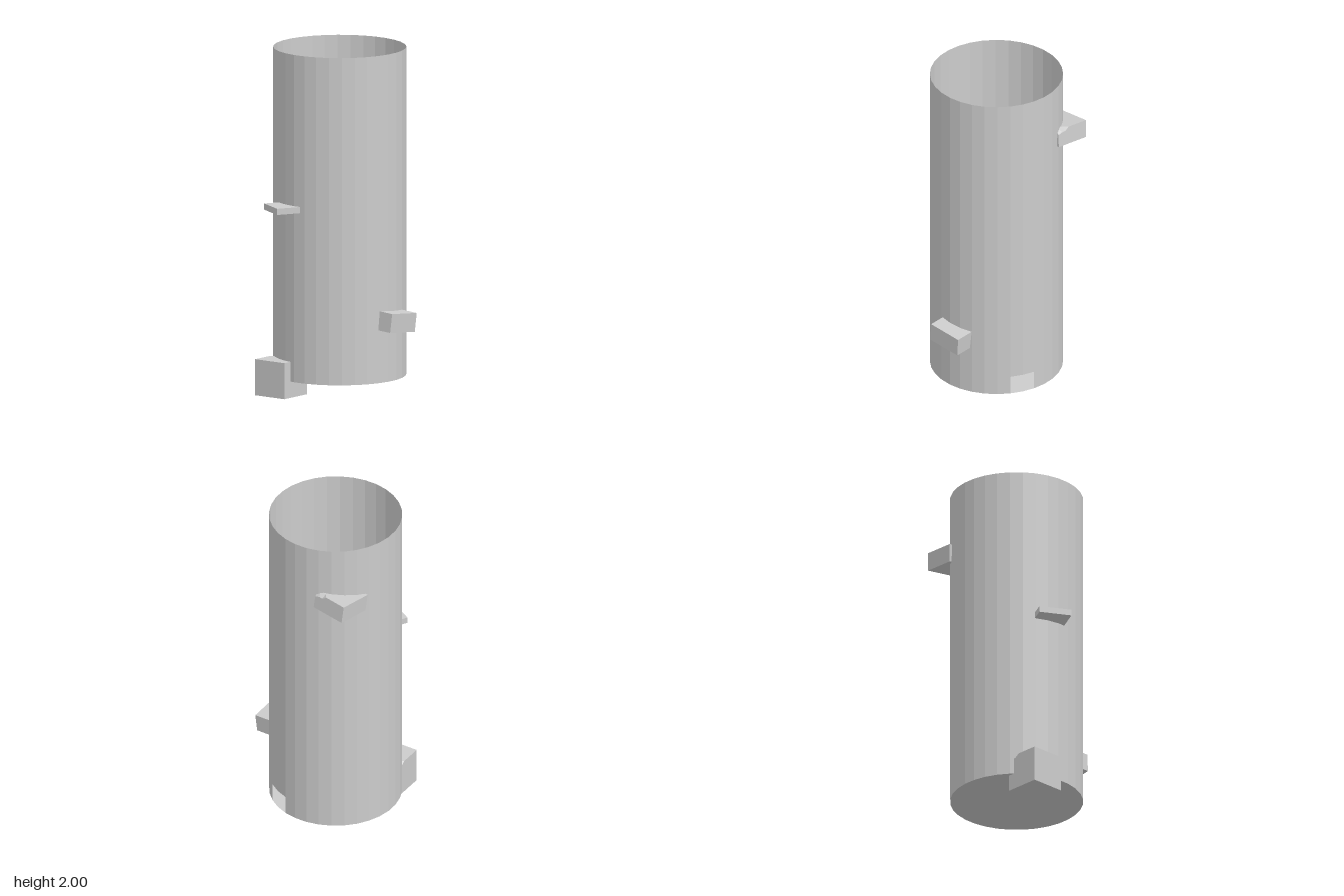
import * as THREE from 'three';

const RADIUS = 0.382, FLOOR = 0.095, DOOR_TOP = 0.205, TOP = 2, SIDES = 32, CX = 0.063;

// Stone block with a chipped top edge on its +z side and at the +x corner
function chippedBlock(size, height) {
  const n = 8, step = size / n;
  const geo = new THREE.BoxGeometry(size, height, size, n, 1, n);
  const inset = [0.005, 0.02, 0.048, 0.03, 0.05, 0.035, 0.046, 0.01, 0.03];
  const drop = [0, 0.03, 0.045, 0.03, 0.045, 0.035, 0.04, 0.005, 0.03];
  const p = geo.attributes.position;
  for (let i = 0; i < p.count; i++) {
    if (p.getY(i) < 0) continue;
    const col = Math.round((p.getX(i) + size / 2) / step);
    const row = Math.round((p.getZ(i) + size / 2) / step);
    if (row === n - 1) p.setZ(i, size / 2 - inset[col]);
    if (row === n) p.setY(i, height / 2 - drop[col]);
    else if (col === n && row >= n - 2) p.setY(i, height / 2 - 0.02);
  }
  return geo;
}

export function createModel() {
  const model = new THREE.Group();
  const mat = new THREE.MeshStandardMaterial({ color: 0xcccccc, flatShading: true });
  const thin = new THREE.MeshStandardMaterial({ color: 0xcccccc, flatShading: true, side: THREE.DoubleSide });

  const add = (parent, name, geo, material, x, y, z) => {
    const mesh = new THREE.Mesh(geo, material);
    mesh.name = name;
    mesh.position.set(x, y, z);
    parent.add(mesh);
    return mesh;
  };

  // Open tower: full upper wall, lower wall with a two-facet doorway on +x, and a floor
  const tower = new THREE.Group();
  tower.name = 'tower';
  tower.position.x = CX;
  model.add(tower);
  const facet = (Math.PI * 2) / SIDES;
  const upperH = TOP - DOOR_TOP, lowerH = DOOR_TOP - FLOOR;
  add(tower, 'upperWall',
    new THREE.CylinderGeometry(RADIUS, RADIUS, upperH, SIDES, 1, true),
    thin, 0, DOOR_TOP + upperH / 2, 0);
  add(tower, 'lowerWall',
    new THREE.CylinderGeometry(RADIUS, RADIUS, lowerH, SIDES - 2, 1, true,
      Math.PI / 2 + facet, Math.PI * 2 - 2 * facet),
    thin, 0, FLOOR + lowerH / 2, 0);
  add(tower, 'floor', new THREE.CircleGeometry(RADIUS, SIDES).rotateX(-Math.PI / 2),
    thin, 0, FLOOR, 0);

  // Blocks set through the wall, chipped edge facing inwards
  const blocks = [
    { name: 'baseBlock', h: 0.21, pos: [-0.305, 0.105, 0], rot: [0, 0.48 + Math.PI / 2, 0] },
    { name: 'lowerBlock', h: 0.11, pos: [0.233, 0.448, 0.32], rot: [-0.05, 0.41 + Math.PI, 0.1] },
    { name: 'upperBlock', h: 0.105, pos: [0.22, 1.645, -0.328], rot: [-0.07, 0.33, 0.1] },
  ];
  for (const { name, h, pos, rot } of blocks) {
    const block = add(model, name, chippedBlock(0.212, h), mat, ...pos);
    block.rotation.set(...rot, 'YXZ');
  }

  // Thin ledge with its inner back corner broken off
  const outline = [
    [-0.097, -0.095], [0.097, -0.095], [0.097, 0.03], [0.075, 0.055],
    [0.058, 0.065], [0.055, 0.08], [0.037, 0.095], [-0.093, 0.095],
  ].map(([x, y]) => new THREE.Vector2(x, y));
  const ledge = new THREE.ExtrudeGeometry(new THREE.Shape(outline), { depth: 0.036, bevelEnabled: false });
  add(model, 'ledge', ledge.rotateX(-Math.PI / 2), mat, -0.317, 1.084, 0.09);

  return model;
}
